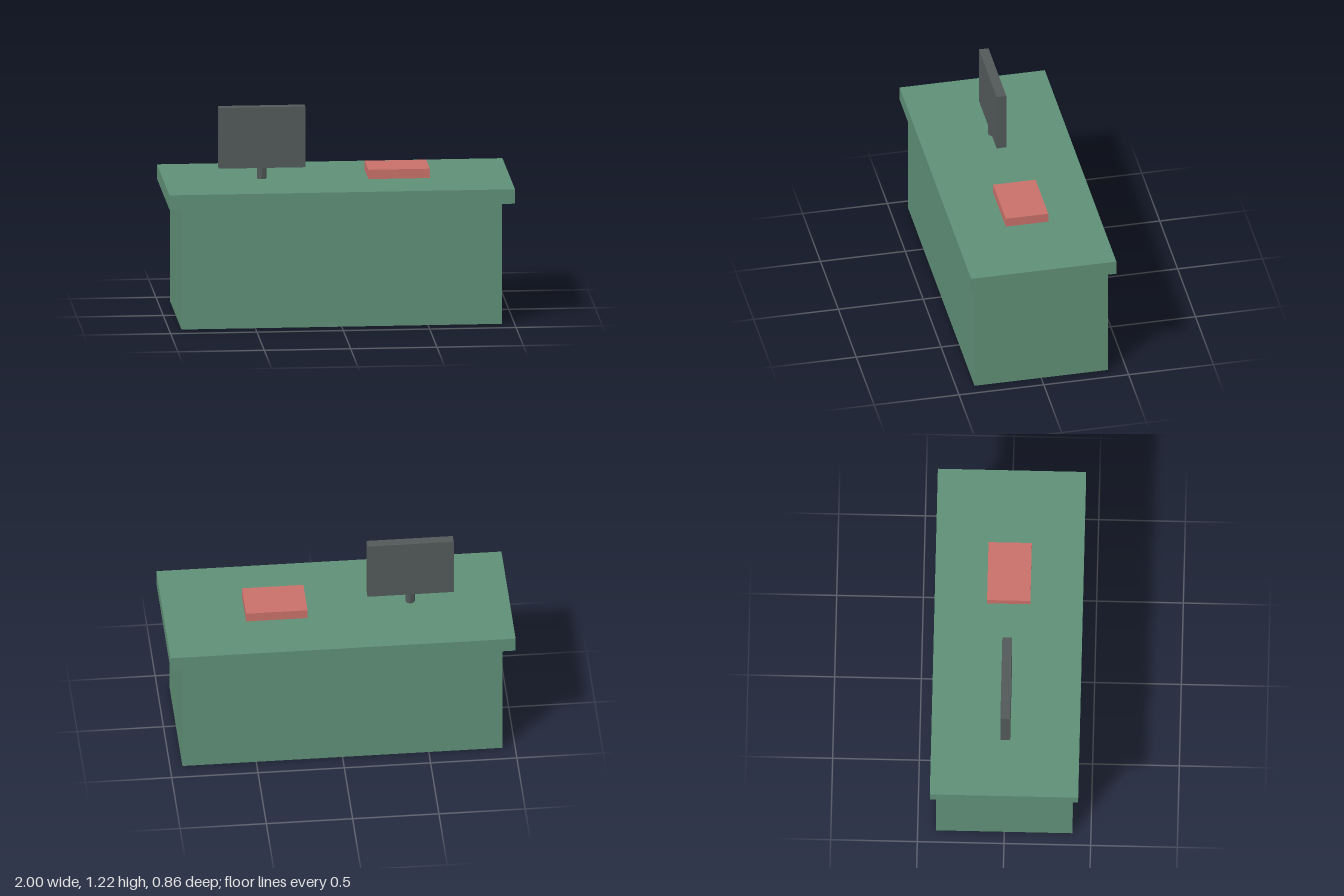
import * as THREE from 'three';

export function createModel() {
  const group = new THREE.Group();
  const mat = (name, color, extra = {}) => {
    const m = new THREE.MeshStandardMaterial({ color, ...extra });
    m.name = name;
    return m;
  };
  const green = mat('deskGreen', 0x5f8f76);
  const charcoal = mat('charcoal', 0x525859, { flatShading: true });
  const red = mat('softRed', 0xc9706a);

  const add = (name, geometry, material, x, y, z) => {
    const mesh = new THREE.Mesh(geometry, material);
    mesh.name = name;
    mesh.position.set(x, y, z);
    group.add(mesh);
  };
  // Box placed by the height of its underside
  const box = (name, material, w, h, d, x, bottom) =>
    add(name, new THREE.BoxGeometry(w, h, d), material, x, bottom + h / 2, 0);

  // Counter: solid base with an overhanging top
  box('deskBase', green, 1.856, 0.715, 0.786, 0, 0);
  box('deskTop', green, 2, 0.085, 0.856, 0, 0.715);

  // Display on a short post
  add('monitorPost', new THREE.CylinderGeometry(0.028, 0.028, 0.075, 8), charcoal, -0.43, 0.8325, 0);
  box('monitorScreen', charcoal, 0.5, 0.358, 0.057, -0.43, 0.866);

  // Tray, resting just clear of the top
  box('tray', red, 0.356, 0.055, 0.25, 0.355, 0.81);

  return group;
}
